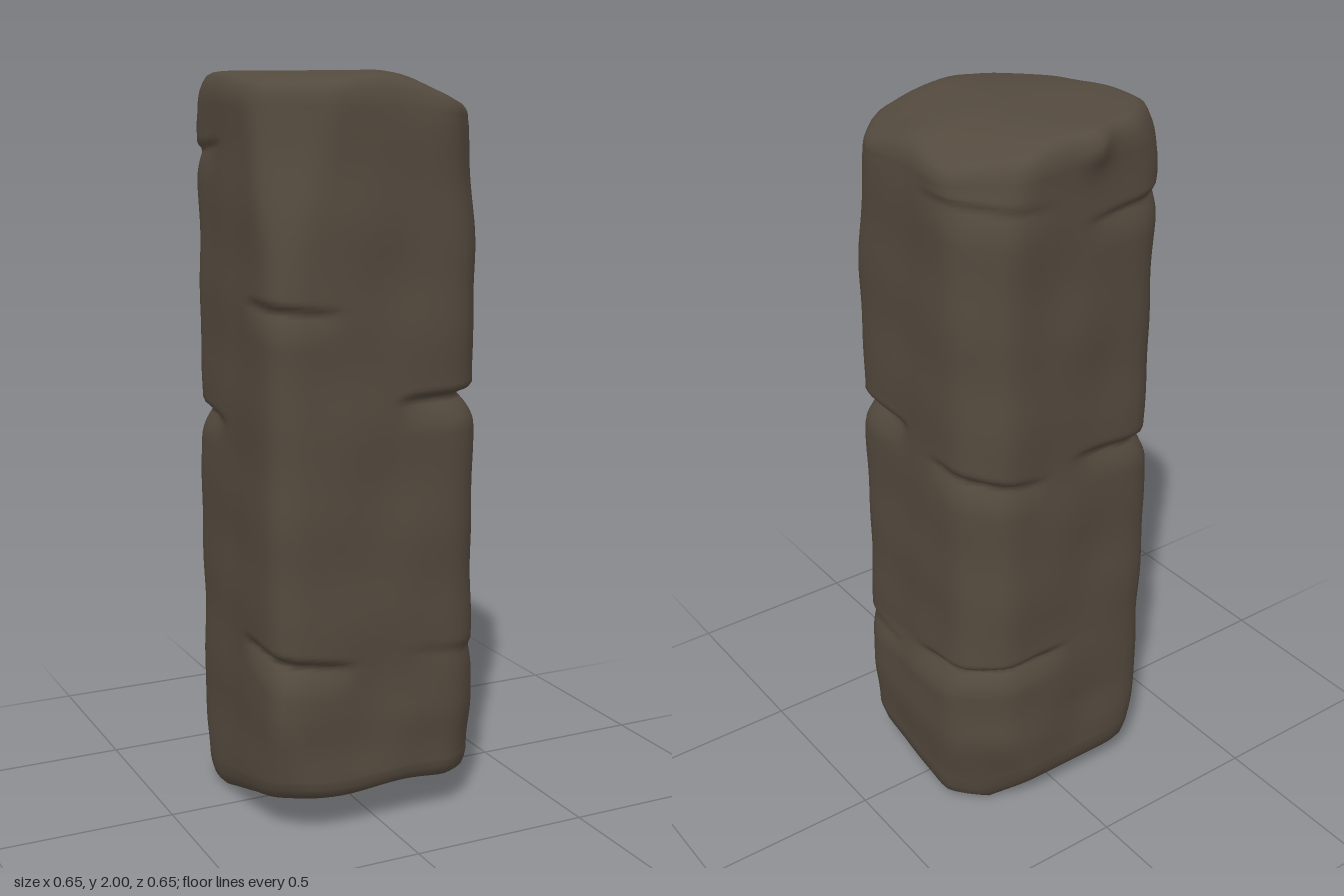
import * as THREE from 'three';

const SEGMENTS = 80;
const clamp01 = (v) => Math.min(1, Math.max(0, v));
const ramp = (v, a, b) => THREE.MathUtils.smoothstep(v, a, b);
const angleGap = (a, b) => Math.abs(Math.atan2(Math.sin(a - b), Math.cos(a - b)));

// Corner directions, measured from +x towards +z
const FRONT_RIGHT = Math.PI / 4, FRONT_LEFT = 3 * Math.PI / 4;
const BACK_LEFT = -3 * Math.PI / 4, BACK_RIGHT = -Math.PI / 4;

// Cracks across the corners: angle, height, depth, angular reach, slant
const CRACKS = [
  [FRONT_RIGHT, 1.165, 0.05, 0.7, 0],
  [FRONT_RIGHT, 0.46, 0.01, 0.6, 0.05],
  [FRONT_LEFT, 1.41, 0.022, 0.4, 0.04],
  [FRONT_LEFT, 0.49, 0.04, 0.5, 0.06],
  [BACK_LEFT, 1.1, 0.035, 0.75, 0.03],
  [BACK_LEFT, 1.79, 0.018, 0.7, -0.04],
  [BACK_RIGHT, 1.1, 0.025, 0.55, 0.05],
  [BACK_RIGHT, 0.5, 0.032, 0.8, -0.03],
  [BACK_RIGHT, 1.84, 0.01, 0.6, 0.03],
];

// Distance from the axis to the stone face: a soft eight-sided outline
function radiusAt(angle, y) {
  const foot = 1 - ramp(y, 0, 0.28);
  const planes = [
    [0, 0.298 + 0.019 * (1 - ramp(y, 0.38, 0.5)) - 0.012 * foot],
    [Math.PI / 2, 0.315],
    [Math.PI, 0.317],
    [-Math.PI / 2, 0.298],
    [FRONT_RIGHT, 0.385 - 0.03 * ramp(y, 1.5, 1.95) - 0.015 * foot],
    [FRONT_LEFT, 0.42 - 0.08 * ramp(y, 1.42, 1.95) - 0.03 * foot],
    [BACK_LEFT, 0.392 - 0.014 * ramp(y, 1, 1.15) - 0.025 * ramp(y, 1.85, 2) - 0.02 * foot],
    [BACK_RIGHT, 0.348 - 0.025 * ramp(y, 1.75, 2) - 0.045 * foot],
  ];
  let sum = 0;
  for (const [a, d] of planes) sum += Math.max(0, Math.cos(angle - a) / d) ** 28;
  let r = sum ** (-1 / 28);

  for (const [a, height, depth, reach, slant] of CRACKS) {
    const side = Math.max(0, 1 - (angleGap(angle, a) / reach) ** 2);
    const dy = y - height - slant * Math.sin(angle - a);
    const cut = Math.max(0, 1 - Math.abs(dy) / (dy > 0 ? 0.025 : 0.09));
    r -= depth * side * cut * cut;
  }
  // Lip at the back of the top
  r += 0.026 * Math.exp(-((angleGap(angle, -1.73) / 0.13) ** 2) - ((y - 1.97) / 0.06) ** 2);
  // Weathering
  r += 0.004 * Math.sin(3 * angle + 5 * y) * Math.sin(7 * y + 2 * angle);
  r += 0.003 * Math.sin(5 * angle - 11 * y + 1) * Math.cos(13 * y + 4 * angle);
  return r;
}

// Uneven ends: the base rises at front and back, the top falls at the corners
function bottomAt(x, z) {
  return 0.1 * clamp01((z + 0.12) / 0.42) + 0.085 * clamp01((-z - 0.2) / 0.1)
    + 0.012 * Math.sin(9 * x + 1) ** 2 * clamp01((z + 0.1) / 0.2);
}
function topAt(x, z) {
  return 2 - 0.035 * ramp(x, 0.08, 0.32) - 0.05 * ramp(x + z, 0.2, 0.5)
    - 0.025 * ramp(z - x, 0.2, 0.46) - 0.035 * ramp(x - z, 0.2, 0.46);
}

// Closed stone body from horizontal rings of [height, scale]
function stoneGeometry() {
  const rings = [[0, 0.001], [0, 0.3], [0, 0.6], [0, 0.82], [0.005, 0.92], [0.02, 0.97], [0.045, 0.99]];
  for (let i = 0; i <= 186; i++) rings.push([0.07 + i * 0.01, 1]);
  rings.push([1.95, 0.995], [1.97, 0.98], [1.988, 0.955], [1.997, 0.91], [2, 0.85],
    [2, 0.65], [2, 0.35], [2, 0.001]);

  const positions = [], index = [];
  for (const [h, scale] of rings) {
    for (let s = 0; s < SEGMENTS; s++) {
      const a = (s / SEGMENTS) * Math.PI * 2;
      const r = radiusAt(a, h) * scale;
      const x = r * Math.cos(a), z = r * Math.sin(a);
      let y = h;
      if (h < 0.35) y = THREE.MathUtils.lerp(bottomAt(x, z), 0.35, h / 0.35);
      if (h > 1.86) y = THREE.MathUtils.lerp(1.86, topAt(x, z), (h - 1.86) / 0.14);
      positions.push(x, y, z);
    }
  }
  for (let j = 0; j < rings.length - 1; j++) {
    for (let s = 0; s < SEGMENTS; s++) {
      const n = (s + 1) % SEGMENTS;
      const a = j * SEGMENTS + s, b = j * SEGMENTS + n;
      const c = a + SEGMENTS, d = b + SEGMENTS;
      index.push(a, c, b, b, c, d);
    }
  }
  const geometry = new THREE.BufferGeometry();
  geometry.setAttribute('position', new THREE.Float32BufferAttribute(positions, 3));
  geometry.setIndex(index);
  geometry.computeVertexNormals();
  return geometry;
}

export function createModel() {
  const stone = new THREE.MeshStandardMaterial({ color: 0x544a3e });
  stone.name = 'brown stone';
  const pillar = new THREE.Mesh(stoneGeometry(), stone);
  pillar.name = 'stonePillar';
  const group = new THREE.Group();
  group.name = 'weatheredPillar';
  group.add(pillar);
  return group;
}
